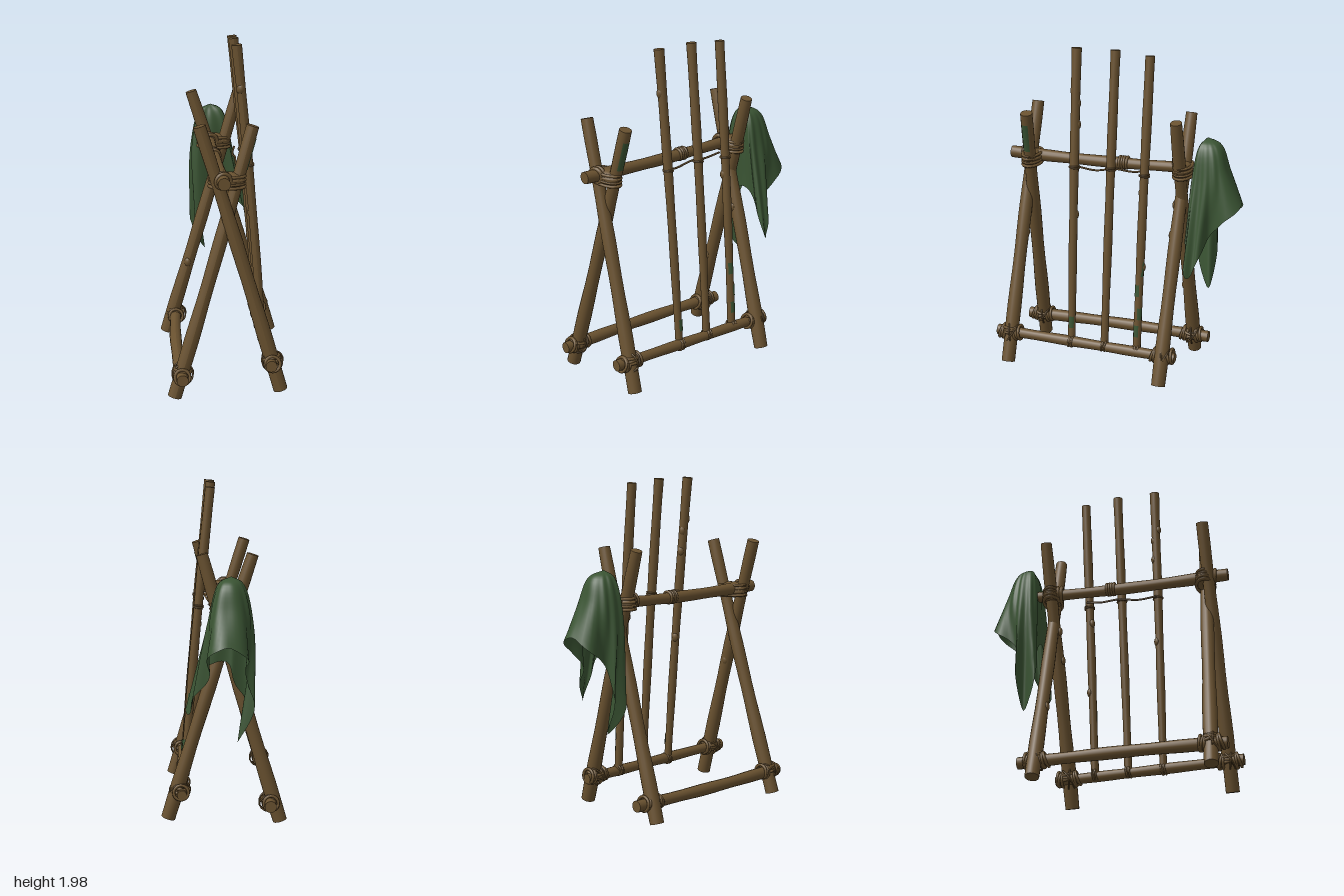
import * as THREE from 'three';

const wood = new THREE.MeshStandardMaterial({ color: 0x6a5230 });
wood.name = 'brown wood';
const green = new THREE.MeshStandardMaterial({ color: 0x3a5433, side: THREE.DoubleSide });
green.name = 'green cloth';
const UP = new THREE.Vector3(0, 1, 0);
const V = (p) => new THREE.Vector3(...p);

function add(parent, name, geometry, material) {
  const mesh = new THREE.Mesh(geometry, material);
  mesh.name = name;
  parent.add(mesh);
  return mesh;
}

// Round pole from a to b, with a slight bow, uneven thickness and optional knots
function pole(parent, name, a, b, r0, r1, bow = [0, 0, 0], knots = []) {
  const start = V(a), dir = V(b).sub(start), len = dir.length();
  const geo = new THREE.CylinderGeometry(r1, r0, len, 16, 14);
  const pos = geo.attributes.position;
  for (let i = 0; i < pos.count; i++) {
    const t = pos.getY(i) / len + 0.5;
    const k = 1 + 0.05 * Math.sin(t * 17 + r0 * 900 + a[2] * 5);
    pos.setX(i, pos.getX(i) * k);
    pos.setZ(i, pos.getZ(i) * k);
  }
  geo.translate(0, len / 2, 0);
  geo.applyQuaternion(new THREE.Quaternion().setFromUnitVectors(UP, dir.clone().normalize()));
  geo.translate(...a);
  const along = dir.clone().normalize();
  for (let i = 0; i < pos.count; i++) {
    const t = new THREE.Vector3().fromBufferAttribute(pos, i).sub(start).dot(along) / len;
    const s = Math.sin(Math.PI * Math.min(1, Math.max(0, t)));
    pos.setXYZ(i, pos.getX(i) + bow[0] * s, pos.getY(i) + bow[1] * s, pos.getZ(i) + bow[2] * s);
  }
  geo.computeVertexNormals();
  add(parent, name, geo, wood);
  // small swellings: [position along pole, z offset]
  knots.forEach(([t, dz]) => {
    const knot = add(parent, name + 'Knot', new THREE.SphereGeometry(1, 10, 8), wood);
    knot.scale.set(0.022, 0.03, 0.018);
    knot.position.copy(start).addScaledVector(dir, t);
    knot.position.z += dz;
  });
}

// Rope turns stacked along an axis
function wrap(parent, name, center, axis, radius, turns, tube = 0.009, tilt = 0) {
  const group = new THREE.Group();
  group.name = name;
  for (let i = 0; i < turns; i++) {
    const ring = add(group, 'ropeTurn', new THREE.TorusGeometry(radius, tube, 8, 20), wood);
    ring.position.z = (i - (turns - 1) / 2) * tube * 1.6;
    ring.rotation.x = tilt * (i % 2 ? 1 : -1);
  }
  group.position.set(...center);
  group.quaternion.setFromUnitVectors(new THREE.Vector3(0, 0, 1), V(axis).normalize());
  parent.add(group);
  return group;
}

// Moss patch: thin shell hugging one side of a pole
function moss(parent, a, b, t0, t1, r, angle) {
  const start = V(a).lerp(V(b), t0), end = V(a).lerp(V(b), t1);
  const dir = end.clone().sub(start);
  const patch = add(parent, 'mossPatch',
    new THREE.CylinderGeometry(r, r, dir.length(), 8, 1, true, angle, 1.1), green);
  patch.position.copy(start).add(end).multiplyScalar(0.5);
  patch.quaternion.setFromUnitVectors(UP, dir.normalize());
}

// Cloth hung over the rail end: loops from peak to ragged hem
function cloth() {
  const crown = [], shoulder = [], hem = [
    [-0.01, 1.0, -0.45], [-0.06, 0.86, -0.45], [-0.14, 0.74, -0.43], [-0.07, 0.55, -0.52],
    [-0.16, 0.78, -0.55], [-0.1, 0.96, -0.57], [-0.12, 1.04, -0.67], [0, 1.13, -0.74],
    [0.12, 1.05, -0.67], [0.09, 0.95, -0.57], [0.17, 0.82, -0.52], [0.22, 0.70, -0.46],
    [0.18, 0.85, -0.43], [0.1, 0.98, -0.44]];
  const mid = [
    [-0.02, 1.37, -0.45], [-0.08, 1.33, -0.45], [-0.135, 1.25, -0.455], [-0.15, 1.2, -0.49],
    [-0.15, 1.22, -0.54], [-0.13, 1.27, -0.58], [-0.1, 1.3, -0.62], [-0.01, 1.31, -0.65],
    [0.07, 1.3, -0.62], [0.09, 1.27, -0.58], [0.1, 1.25, -0.54], [0.1, 1.22, -0.49],
    [0.09, 1.25, -0.455], [0.05, 1.33, -0.45]];
  mid.forEach((p) => {
    shoulder.push(V(p));
    crown.push(new THREE.Vector3(-0.03 + (p[0] + 0.03) * 0.55, 1.46, -0.51 + (p[2] + 0.51) * 0.6));
  });
  const loops = [crown, shoulder, hem.map(V)]
    .map((pts) => new THREE.CatmullRomCurve3(pts, true, 'centripetal'));
  const N = 84, M = 20, verts = [], index = [];
  for (let i = 0; i < N; i++) {
    const u = i / N;
    const fall = new THREE.CatmullRomCurve3(
      [new THREE.Vector3(-0.03, 1.5, -0.51), ...loops.map((c) => c.getPoint(u))]);
    for (let j = 0; j <= M; j++) {
      const t = j / M, p = fall.getPoint(t);
      const fold = 1 + 0.06 * t * Math.sin(u * Math.PI * 22 + t * 2);
      verts.push(-0.0 + p.x * fold, p.y, -0.53 + (p.z + 0.53) * fold);
    }
  }
  for (let i = 0; i < N; i++) for (let j = 0; j < M; j++) {
    const a = i * (M + 1) + j, b = ((i + 1) % N) * (M + 1) + j;
    index.push(a, a + 1, b, b, a + 1, b + 1);
  }
  const geo = new THREE.BufferGeometry();
  geo.setAttribute('position', new THREE.Float32BufferAttribute(verts, 3));
  geo.setIndex(index);
  geo.computeVertexNormals();
  return geo;
}

export function createModel() {
  const model = new THREE.Group();
  model.name = 'poleRack';

  // Crossed leg pairs: foot and top of each leg
  const legs = [
    ['frontRightLeg', [-0.325, 0.03, 0.64], [0.125, 1.6, 0.565], []],
    ['frontLeftLeg', [0.285, 0.06, 0.655], [-0.175, 1.61, 0.605], [[0.5, -0.025]]],
    ['backRightLeg', [-0.325, 0.04, -0.375], [0.13, 1.61, -0.36], [[0.3, 0.03]]],
    ['backLeftLeg', [0.33, 0.05, -0.325], [-0.16, 1.61, -0.375], [[0.66, 0.03], [0.55, 0.03]]]];
  legs.forEach(([name, a, b, knots]) => pole(model, name, a, b, 0.043, 0.035, [0.006, 0, 0], knots));

  // Long rails
  pole(model, 'ridgeRail', [-0.047, 1.31, 0.73], [-0.047, 1.305, -0.52], 0.037, 0.031, [0, -0.012, 0]);
  pole(model, 'rightBottomRail', [-0.283, 0.16, 0.73], [-0.262, 0.15, -0.48], 0.036, 0.034, [-0.018, 0, 0]);
  pole(model, 'leftBottomRail', [0.222, 0.235, 0.74], [0.25, 0.205, -0.405], 0.032, 0.03);

  // Leaning upright poles
  const uprights = [
    [[0.225, 0.2, 0.258], [0.062, 2.0, 0.265], [[0.86, 0.016], [0.75, -0.016], [0.82, -0.014], [0.45, -0.013]]],
    [[0.23, 0.22, 0.045], [0.065, 2.0, 0.025], []],
    [[0.235, 0.2, -0.16], [0.075, 1.98, -0.187], [[0.55, 0.014], [0.3, -0.014]]]];
  uprights.forEach(([a, b, knots]) => {
    pole(model, 'uprightPole', a, b, 0.023, 0.029, [0.008, 0, 0], knots);
    wrap(model, 'poleFootLashing', [0.232, 0.22, a[2]], [0, 0, 1], 0.033, 3, 0.006, 0.15);
    const c = V(a).lerp(V(b), 0.61);
    wrap(model, 'poleRopeRing', [c.x + 0.008, c.y, c.z], [-0.09, 1, 0], 0.029, 2, 0.005, 0.1);
  });

  // Thin rope joining the upright poles
  const rope = new THREE.CatmullRomCurve3([
    [0.09, 1.29, 0.26], [0.072, 1.27, 0.15], [0.075, 1.29, 0.03], [0.07, 1.28, -0.08], [0.09, 1.3, -0.18]].map(V));
  add(model, 'poleRope', new THREE.TubeGeometry(rope, 24, 0.006, 6), wood);
  wrap(model, 'ridgeLashing', [-0.047, 1.3, 0.01], [0, 0, 1], 0.034, 4, 0.009, 0.05);

  // Apex lashings around crossed legs and ridge
  [0.588, -0.365].forEach((z) => {
    const bulge = add(model, 'apexLashing', new THREE.SphereGeometry(1, 20, 12), wood);
    bulge.scale.set(0.105, 0.05, 0.06);
    bulge.position.set(-0.02, 1.295, z);
    const turns = wrap(model, 'apexRope', [-0.02, 1.293, z], [0.05, 1, 0], 1, 4, 0.16, 0);
    turns.scale.set(0.095, 0.055, 0.07);
    turns.children.forEach((ring) => { ring.position.z *= 1.5; });
    turns.scale.set(0.095, 0.055, 0.055);
    wrap(model, 'ridgeEndRope', [-0.047, 1.307, z + 0.05], [0.2, 0, 1], 0.042, 2, 0.012, 0.1);
  });

  // Foot lashings where rails meet legs
  [[-0.283, 0.165, 0.635, 0.29], [0.232, 0.235, 0.65, -0.3],
    [-0.268, 0.155, -0.37, 0.29], [0.255, 0.215, -0.33, -0.31]].forEach(([x, y, z, lean]) => {
    wrap(model, 'footLashing', [x, y, z + 0.045], [0, 0.2, 1], 0.043, 3, 0.009, 0.12);
    wrap(model, 'footLashing', [x, y, z - 0.045], [0, -0.2, 1], 0.043, 3, 0.009, 0.12);
    wrap(model, 'legLashing', [x, y + 0.01, z], [lean, 1, 0], 0.048, 3, 0.009, 0.12);
    wrap(model, 'looseRope', [x + 0.005, y, z], [0.25, 0.3, 1], 0.062, 2, 0.005, 0.35);
  });

  // Moss on some poles
  [[0.06, 0.1, 0.9], [0.12, 0.16, 1.6], [0.2, 0.24, 0.7], [0.27, 0.32, 1.5]].forEach(([t0, t1, angle]) =>
    moss(model, uprights[2][0], uprights[2][1], t0, t1, 0.029, angle));
  moss(model, uprights[0][0], uprights[0][1], 0.06, 0.1, 0.028, 1.2);
  moss(model, legs[0][1], legs[0][2], 0.85, 0.96, 0.04, 0.9);

  add(model, 'hangingCloth', cloth(), green);
  return model;
}
